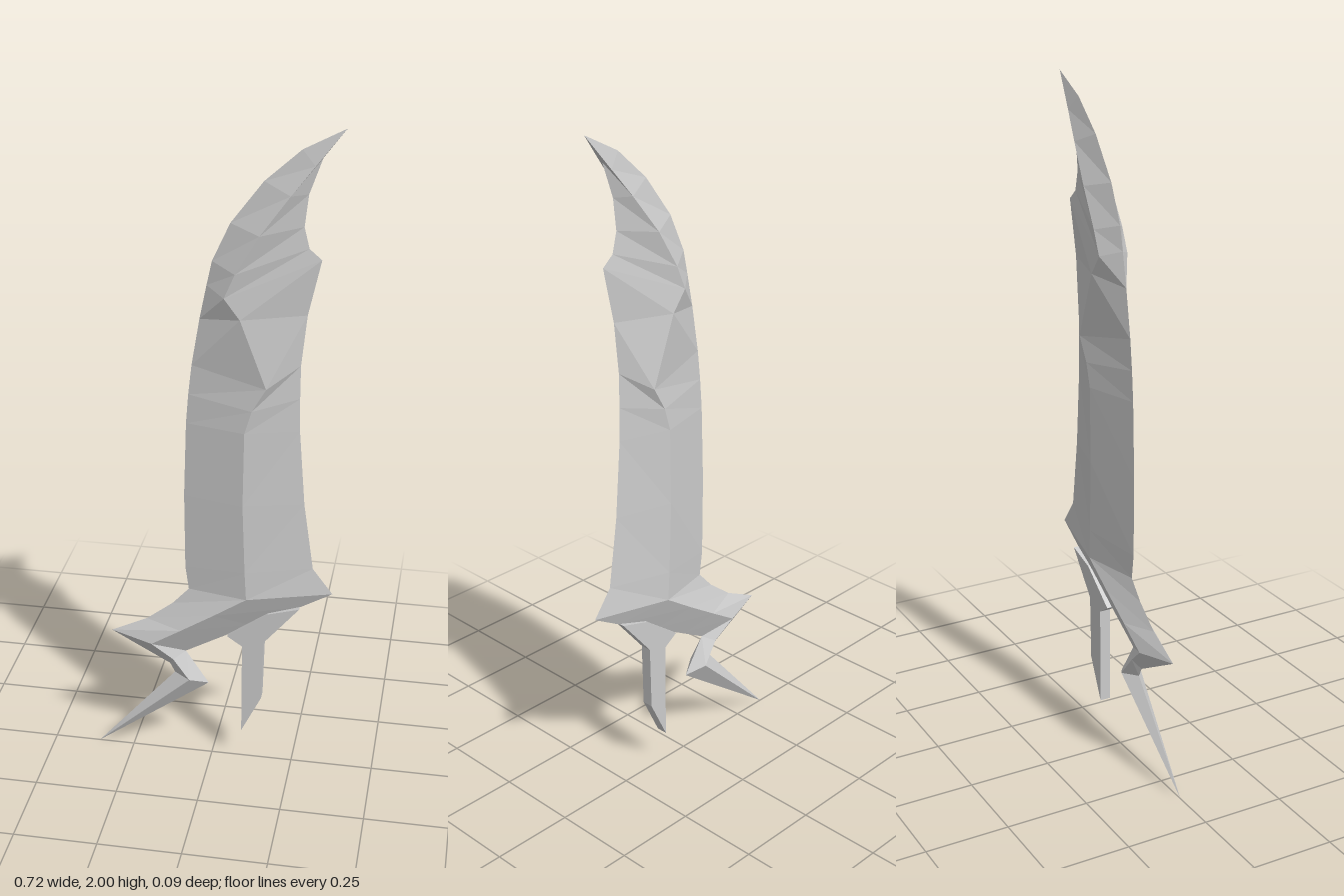
import * as THREE from 'three';

const material = new THREE.MeshStandardMaterial({ color: 0xcccccc, flatShading: true });

// Skin a double-edged form. Each row is [edge, ridge, edge]; edges lie on z = 0,
// the ridge [x, y, z] is raised on both faces.
function ridgedForm(name, rows) {
  const positions = [];
  const tri = (a, b, c) => positions.push(...a, ...b, ...c);
  for (const side of [1, -1]) {
    const at = (i, j) => {
      const [x, y, z = 0] = rows[i][j];
      return [x, y, z * side];
    };
    for (let i = 0; i < rows.length - 1; i++) {
      for (let j = 0; j < 2; j++) {
        const a = at(i, j), b = at(i, j + 1), c = at(i + 1, j + 1), d = at(i + 1, j);
        if (side > 0) { tri(a, b, c); tri(a, c, d); }
        else { tri(a, c, b); tri(a, d, c); }
      }
    }
  }
  const geometry = new THREE.BufferGeometry();
  geometry.setAttribute('position', new THREE.Float32BufferAttribute(positions, 3));
  geometry.computeVertexNormals();
  const mesh = new THREE.Mesh(geometry, material);
  mesh.name = name;
  return mesh;
}

export function createModel() {
  const group = new THREE.Group();
  group.name = 'curvedBlade';

  // Blade: spine edge, raised ridge, notched cutting edge
  const point = [0.355, 2];
  group.add(ridgedForm('blade', [
    [[-0.07, 0.585], [0.11, 0.59, 0.045], [0.36, 0.61]],
    [[-0.08, 0.66], [0.105, 0.68, 0.045], [0.3, 0.69]],
    [[-0.082, 0.9], [0.097, 0.9, 0.045], [0.27, 0.9]],
    [[-0.075, 1.13], [0.1, 1.13, 0.045], [0.252, 1.13]],
    [[-0.068, 1.22], [0.12, 1.2, 0.045], [0.25, 1.23]],
    [[-0.058, 1.31], [0.16, 1.27, 0.045], [0.25, 1.33]],
    [[-0.035, 1.45], [0.085, 1.47, 0.045], [0.265, 1.48]],
    [[-0.015, 1.55], [0.04, 1.53, 0.045], [0.3, 1.64]],
    [[0, 1.62], [0.07, 1.6, 0.045], [0.265, 1.67]],
    [[0.05, 1.73], [0.135, 1.71, 0.042], [0.25, 1.73]],
    [[0.14, 1.85], [0.215, 1.82, 0.028], [0.26, 1.82]],
    [[0.24, 1.94], [0.277, 1.9, 0.015], [0.295, 1.92]],
    [point, point, point],
  ]));

  // Guard: sweeps from the low left tip up to the right tip
  const guardTip = [0.36, 0.61];
  group.add(ridgedForm('guard', [
    [[-0.31, 0.415], [-0.18, 0.4, 0.036], [-0.08, 0.365]],
    [[-0.2, 0.468], [-0.09, 0.457, 0.038], [0, 0.41]],
    [[-0.12, 0.53], [0.01, 0.522, 0.041], [0.12, 0.477]],
    [[-0.07, 0.585], [0.11, 0.59, 0.045], [0.265, 0.555]],
    [guardTip, guardTip, guardTip],
  ]));

  // Zigzag spike hanging from the left end of the guard
  const spikeTip = [-0.36, 0];
  group.add(ridgedForm('pommelSpike', [
    [[-0.08, 0.365], [-0.18, 0.4, 0.036], [-0.31, 0.415]],
    [[-0.08, 0.365], [-0.115, 0.345, 0.025], [-0.13, 0.315]],
    [[-0.01, 0.257], [-0.065, 0.28, 0.032], [-0.115, 0.285]],
    [spikeTip, spikeTip, spikeTip],
  ]));

  // Flat grip strut with a flared root and a slanted end
  const depth = 0.034;
  const outline = [
    [0.05, 0.44], [0.095, 0.41], [0.095, 0.105], [0.155, 0.23],
    [0.16, 0.43], [0.265, 0.557], [0.17, 0.53],
  ].map(([x, y]) => new THREE.Vector2(x, y));
  const strut = new THREE.Mesh(
    new THREE.ExtrudeGeometry(new THREE.Shape(outline), { depth, bevelEnabled: false }),
    material,
  );
  strut.position.z = -depth / 2;
  strut.name = 'gripStrut';
  group.add(strut);

  return group;
}
